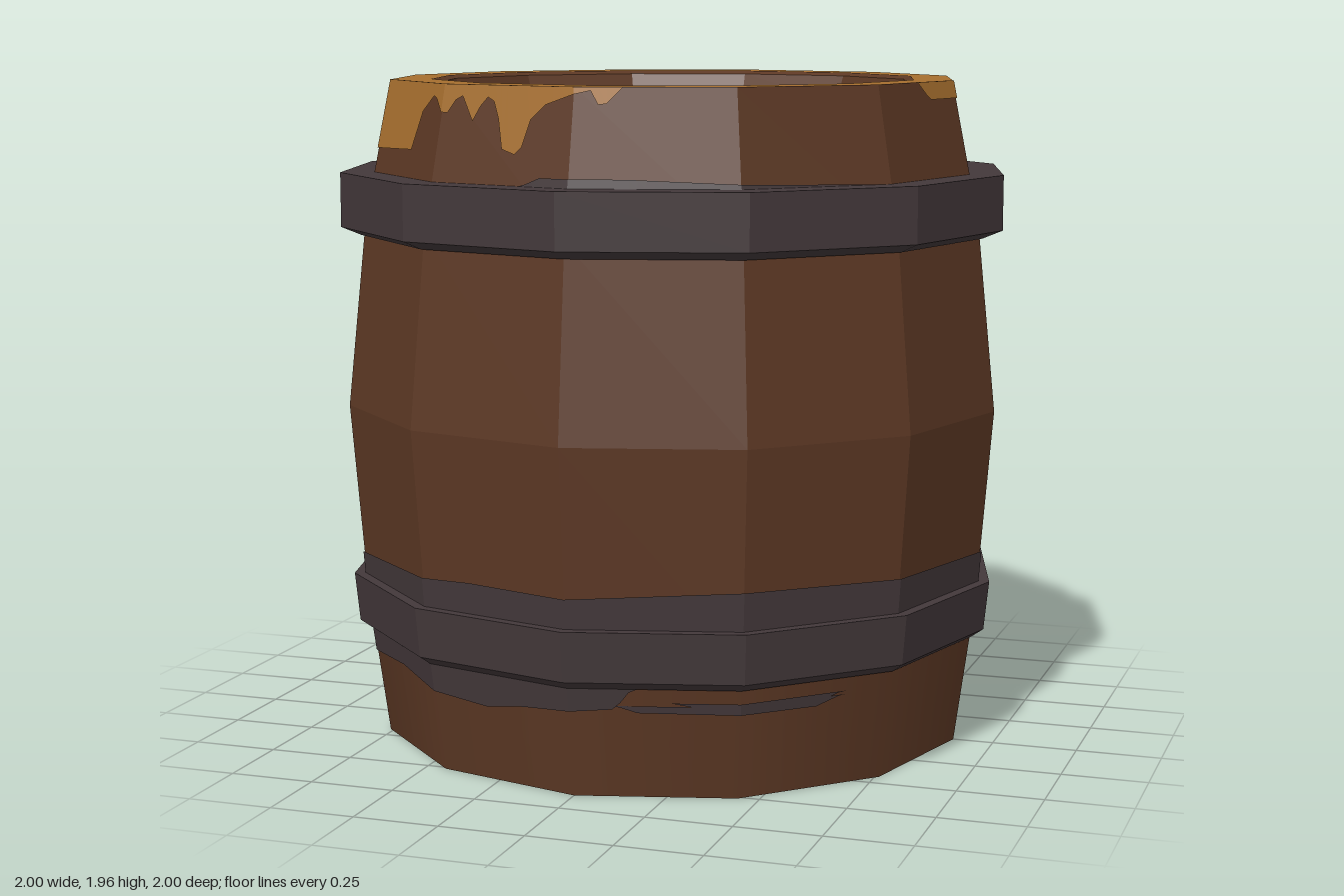
import * as THREE from 'three';

const SIDES = 12;
const STEP = (Math.PI * 2) / SIDES;

const wood = new THREE.MeshStandardMaterial({ color: 0x5c3824 });
wood.name = 'brown wood';
const gold = new THREE.MeshStandardMaterial({ color: 0xa66f2f });
gold.name = 'golden wood';
const iron = new THREE.MeshStandardMaterial({ color: 0x43383a });
iron.name = 'dark iron';

// Barrel outline as [radius, height], bottom to top
const foot = [[0.88, 0], [0.938, 0.42]];
const staves = [[0.938, 0.42], [0.985, 1], [0.928, 1.55], [0.845, 1.96]];
const outline = [...foot, ...staves.slice(1)];

// Twelve-sided turned part, faceted unless smooth
function turned(name, profile, material, smooth = false) {
  let geo = new THREE.LatheGeometry(profile.map(([r, y]) => new THREE.Vector2(r, y)), SIDES);
  if (!smooth) {
    geo = geo.toNonIndexed();
    geo.computeVertexNormals();
  }
  const mesh = new THREE.Mesh(geo, material);
  mesh.name = name;
  return mesh;
}

// Linear lookup in a list of [key, value]
function lookup(list, k) {
  for (let i = 1; i < list.length; i++) {
    const [k0, v0] = list[i - 1];
    const [k1, v1] = list[i];
    if (k >= k0 && k <= k1) return v0 + ((v1 - v0) * (k - k0)) / (k1 - k0);
  }
  return 0;
}

// Point on the faceted barrel side, lifted slightly
const heights = outline.map(([r, y]) => [y, r]);
function onSide(a, y) {
  const local = (((a % STEP) + STEP) % STEP) - STEP / 2;
  const r = ((lookup(heights, y) + 0.004) * Math.cos(STEP / 2)) / Math.cos(local);
  return [r * Math.sin(a), y, r * Math.cos(a)];
}

// Thin painted band: starts at height base, reaches by [degrees, depth]
function paintedBand(name, base, dir, depths, material) {
  const pos = [];
  const rad = THREE.MathUtils.degToRad;
  for (let d = -180; d < 180; d += 1.5) {
    const e0 = base + dir * lookup(depths, d);
    const e1 = base + dir * lookup(depths, d + 1.5);
    if (e0 === base && e1 === base) continue;
    const a = onSide(rad(d), Math.min(base, e0));
    const b = onSide(rad(d + 1.5), Math.min(base, e1));
    const c = onSide(rad(d + 1.5), Math.max(base, e1));
    const f = onSide(rad(d), Math.max(base, e0));
    pos.push(...a, ...b, ...f, ...c, ...f, ...b);
  }
  const geo = new THREE.BufferGeometry();
  geo.setAttribute('position', new THREE.Float32BufferAttribute(pos, 3));
  geo.computeVertexNormals();
  const mesh = new THREE.Mesh(geo, material);
  mesh.name = name;
  return mesh;
}

// Flat patch on the lid from [x, z] points
function lidPatch(name, points, y, material) {
  const shape = new THREE.Shape(points.map(([x, z]) => new THREE.Vector2(x, -z)));
  const mesh = new THREE.Mesh(new THREE.ShapeGeometry(shape).rotateX(-Math.PI / 2), material);
  mesh.position.y = y;
  mesh.name = name;
  return mesh;
}

export function createModel() {
  const barrel = new THREE.Group();
  barrel.name = 'barrel';

  // Body
  barrel.add(turned('foot', foot, wood, true));
  barrel.add(turned('staves', staves, wood));
  const base = new THREE.Mesh(new THREE.CircleGeometry(0.88, SIDES).rotateX(Math.PI / 2), iron);
  base.name = 'base';
  barrel.add(base);

  // Rim and sunken lid
  barrel.add(turned('rim', [[0.845, 1.96], [0.73, 1.96]], gold));
  barrel.add(turned('rimInside', [[0.73, 1.96], [0.71, 1.95], [0.68, 1.87]], wood));
  barrel.add(turned('lid', [[0.68, 1.87], [0, 1.87]], wood));

  // Hoops
  barrel.add(turned('upperHoop', [[0.9, 1.505], [0.94, 1.505], [1, 1.53], [1, 1.69], [0.87, 1.69]], iron));
  barrel.add(turned('lowerHoop', [[0.9, 0.32], [0.93, 0.32], [0.965, 0.345], [0.98, 0.49], [0.92, 0.49]], iron));

  // Golden drips below the rim
  barrel.add(paintedBand('rimDrips', 1.96, -1, [
    [-180, 0.18], [-174, 0.16], [-171, 0.05], [-160, 0.02], [-150, 0],
    [-81, 0], [-77, 0.06], [-72, 0.2], [-69, 0.17], [-66, 0.08], [-63, 0.2], [-42, 0.19],
    [-39, 0.08], [-34, 0.03], [-29, 0.09], [-26, 0.02], [-22.5, 0.1], [-20, 0.03],
    [-17, 0.05], [-15.5, 0.17], [-11, 0.19], [-9, 0.09], [-6, 0.05], [0, 0.02],
    [3, 0.01], [5, 0.06], [9, 0], [75, 0], [79, 0.05], [90, 0.05], [103, 0.02],
    [110, 0.05], [121, 0.06], [125, 0.03], [140, 0.02], [145, 0.04], [151, 0.08],
    [160, 0.1], [164, 0.15], [168, 0.05], [175, 0.05], [180, 0.18],
  ], gold));

  // Dark marks around the hoops
  barrel.add(paintedBand('upperMark', 1.69, 1, [
    [-10, 0], [-6, 0.025], [10, 0.025], [35, 0.01], [60, 0], [110, 0], [130, 0.02], [145, 0],
  ], iron));
  barrel.add(paintedBand('lowerMarkAbove', 0.48, 1, [
    [-180, 0.1], [-130, 0.11], [-90, 0.08], [-60, 0.075], [-20, 0.1], [0, 0.095],
    [30, 0.12], [60, 0.11], [90, 0.1], [120, 0.09], [150, 0.11], [180, 0.1],
  ], iron));
  barrel.add(paintedBand('lowerMarkBelow', 0.34, -1, [
    [-180, 0.09], [-150, 0.1], [-120, 0.05], [-95, 0.04], [-80, 0.08], [-60, 0.09],
    [-45, 0.08], [-25, 0.11], [-18, 0.12], [-10, 0.1], [8, 0.08], [11, 0.02],
    [100, 0.02], [112, 0.07], [130, 0.1], [145, 0.12], [165, 0.13], [180, 0.09],
  ], iron));
  barrel.add(paintedBand('frontStreak', 0.27, -1, [[8, 0], [12, 0.02], [45, 0.025], [50, 0]], iron));
  barrel.add(paintedBand('sideStreak', 0.28, -1, [[18, 0], [25, 0.02], [45, 0.025], [50, 0]], iron));

  // Golden grain stripes on the lid
  const stripes = [
    [[-0.28, -0.58], [-0.2, -0.62], [-0.17, -0.42], [-0.2, -0.31], [-0.28, -0.34]],
    [[-0.28, -0.24], [-0.17, -0.23], [-0.15, -0.1], [-0.17, 0.2], [-0.15, 0.62], [-0.19, 0.4], [-0.23, 0.4], [-0.26, 0.57], [-0.28, 0.56]],
    [[-0.08, -0.65], [0, -0.67], [0.14, -0.63], [0.2, -0.3], [0.26, 0.05], [0.28, 0.3], [0.32, 0.58],
      [0.09, 0.65], [0.04, 0.35], [0, 0.08], [0.05, 0.05], [0, -0.02], [-0.06, -0.2], [-0.05, -0.4]],
    [[0.21, -0.61], [0.34, -0.58], [0.41, -0.5], [0.4, -0.38], [0.48, -0.2], [0.54, 0], [0.57, 0.2], [0.57, 0.35],
      [0.37, 0.56], [0.34, 0.3], [0.29, 0], [0.23, -0.3]],
    [[0.47, -0.43], [0.58, -0.34], [0.65, -0.08], [0.62, 0.18], [0.58, -0.05], [0.5, -0.28]],
  ];
  stripes.forEach((p) => barrel.add(lidPatch('lidStripe', p, 1.874, gold)));
  barrel.add(lidPatch('lidMark', [[0.515, -0.38], [0.53, -0.38], [0.56, -0.14], [0.545, -0.14]], 1.878, iron));

  return barrel;
}
